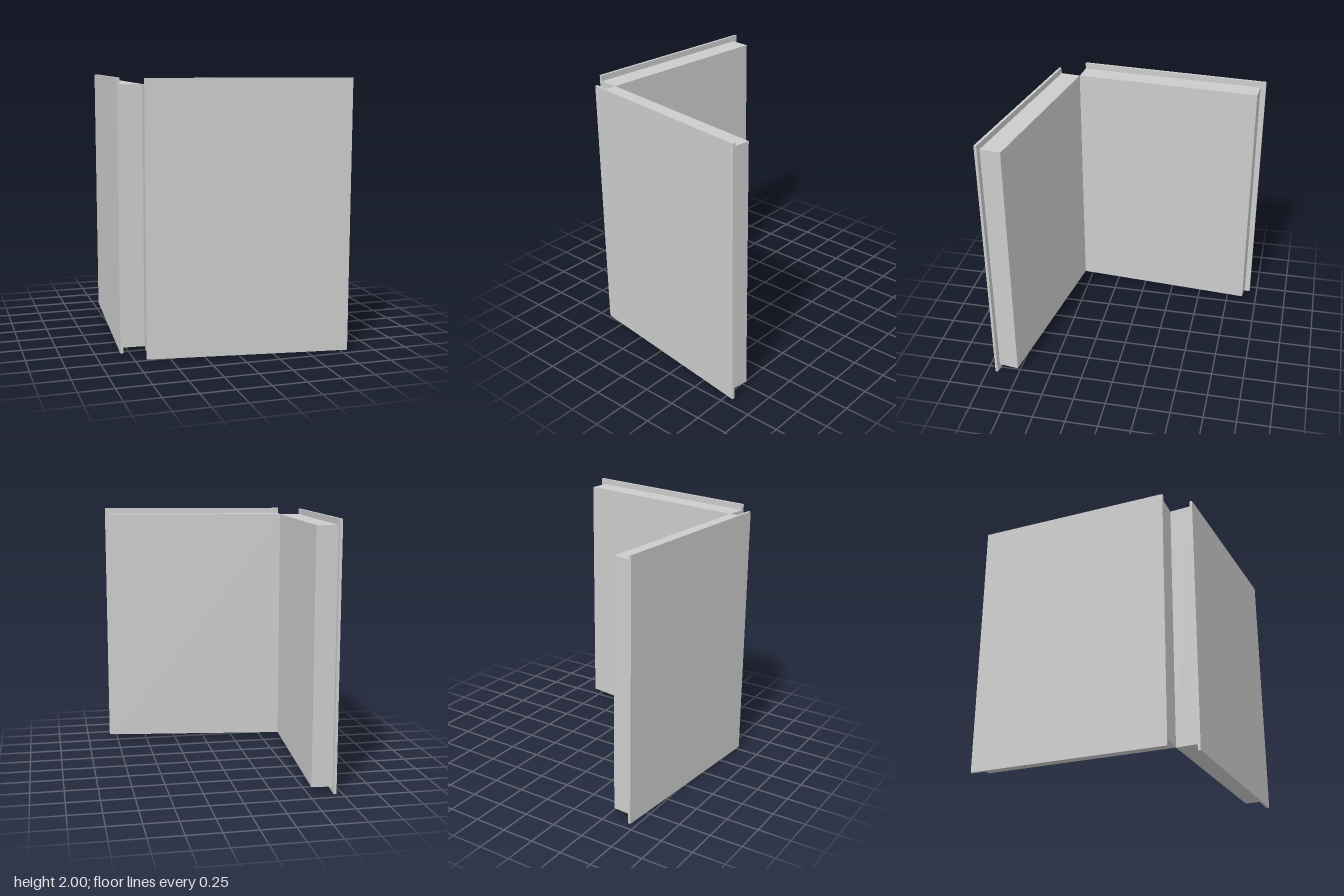
import * as THREE from 'three';

const HEIGHT = 2;
const COVER = { length: 1.486, thickness: 0.021 };
const PAGES = { length: 1.444, height: 1.91, thickness: 0.157 };

// Slab starting at the hinge edge and running along local x
function slab(name, length, height, thickness, z, material) {
  const mesh = new THREE.Mesh(new THREE.BoxGeometry(length, height, thickness), material);
  mesh.name = name;
  mesh.position.set(length / 2, HEIGHT / 2, z);
  return mesh;
}

// Half of an open book: page block against the hinge, cover outside it
function bookHalf(name, angle, outward, material) {
  const half = new THREE.Group();
  half.name = name;
  half.add(
    slab('pageBlock', PAGES.length, PAGES.height, PAGES.thickness,
      outward * PAGES.thickness / 2, material),
    slab('cover', COVER.length, HEIGHT, COVER.thickness,
      outward * (PAGES.thickness + COVER.thickness / 2), material)
  );
  half.position.set(-0.64, 0, 0.555);
  half.rotation.y = angle;
  return half;
}

export function createModel() {
  const model = new THREE.Group();
  model.name = 'openBook';
  const material = new THREE.MeshStandardMaterial({ color: 0xcccccc, flatShading: true });
  // The halves meet along one upright edge, standing open
  model.add(
    bookHalf('frontHalf', -0.139, 1, material),
    bookHalf('sideHalf', 1.494, -1, material)
  );
  return model;
}
